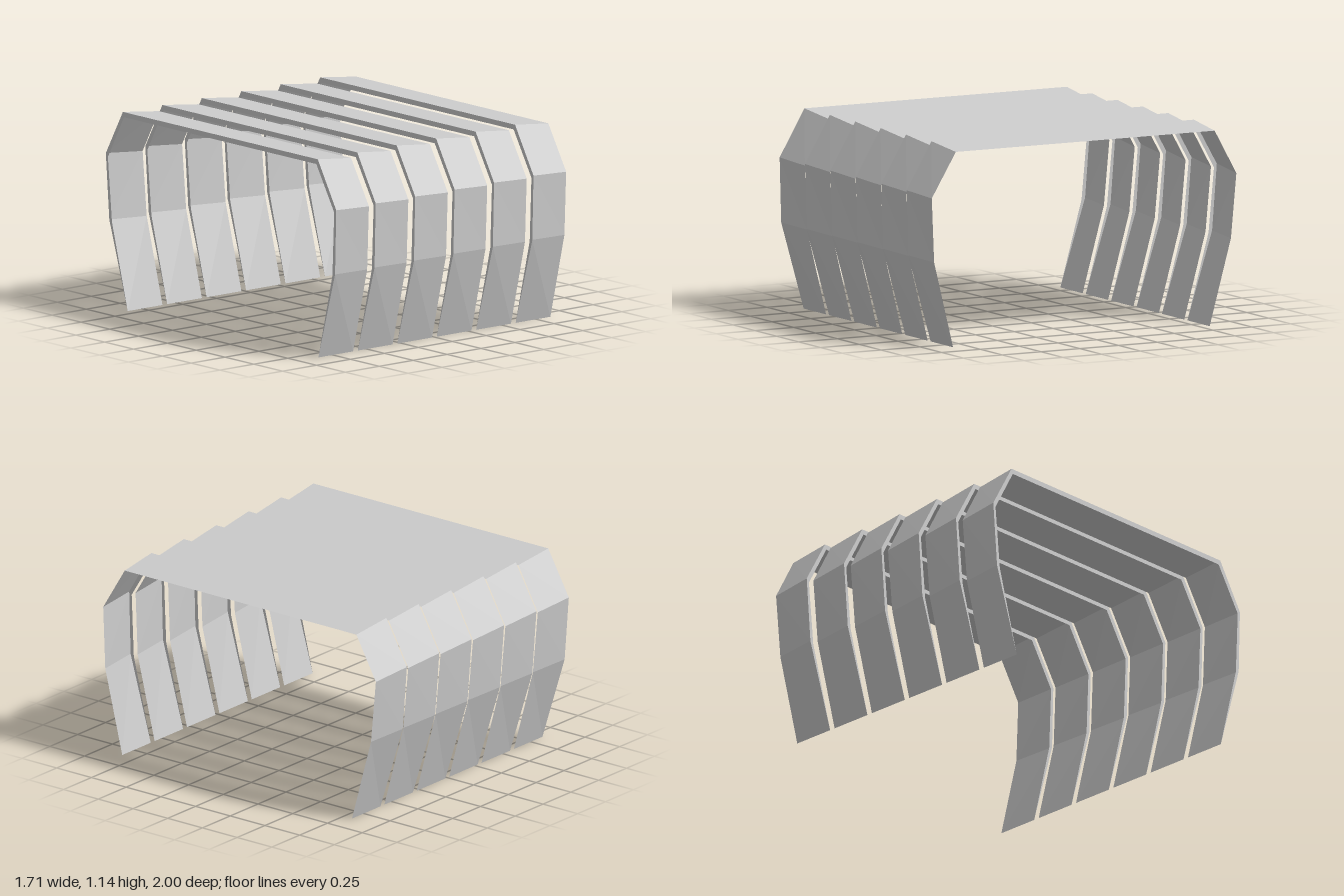
import * as THREE from 'three';

// Arch profiles as [z, y], from the front foot over the roof to the back foot
const OUTER = [[0.845, 0], [0.99, 0.5], [1, 0.87], [0.84, 1.137], [-0.852, 1.137], [-1, 0.877], [-0.97, 0.5], [-0.81, 0]];
const INNER = [[0.845, 0], [0.967, 0.49], [0.982, 0.855], [0.827, 1.108], [-0.842, 1.108], [-0.982, 0.857], [-0.947, 0.49], [-0.81, 0]];

const COUNT = 6, WIDTH = 0.256, PITCH = 0.2908;

// Strip of quads between two profiles placed at xa and xb, facing away from the arch
function strip(a, xa, b, xb) {
  const pos = [], index = [];
  a.forEach(([z, y], i) => {
    pos.push(xa, y, z, xb, b[i][1], b[i][0]);
    if (i) {
      const k = 2 * i;
      index.push(k - 2, k - 1, k, k - 1, k + 1, k);
    }
  });
  const g = new THREE.BufferGeometry();
  g.setAttribute('position', new THREE.Float32BufferAttribute(pos, 3));
  g.setIndex(index);
  const flat = g.toNonIndexed();
  flat.computeVertexNormals();
  return flat;
}

export function createModel() {
  const group = new THREE.Group();
  const material = new THREE.MeshStandardMaterial({ color: 0xcccccc, flatShading: true, side: THREE.DoubleSide });
  const h = WIDTH / 2;

  // Tilted sheet, high on one edge, and the thin lip closing its high edge
  const sheet = strip(OUTER, -h, INNER, h);
  const lip = strip(INNER, -h, OUTER, -h);

  // Row of overlapping-style arched slats
  for (let i = 0; i < COUNT; i++) {
    const slat = new THREE.Group();
    slat.name = `archedSlat${i + 1}`;
    const panel = new THREE.Mesh(sheet, material);
    panel.name = 'slatPanel';
    const edge = new THREE.Mesh(lip, material);
    edge.name = 'slatLip';
    slat.add(panel, edge);
    slat.position.x = (i - (COUNT - 1) / 2) * PITCH;
    group.add(slat);
  }
  return group;
}
